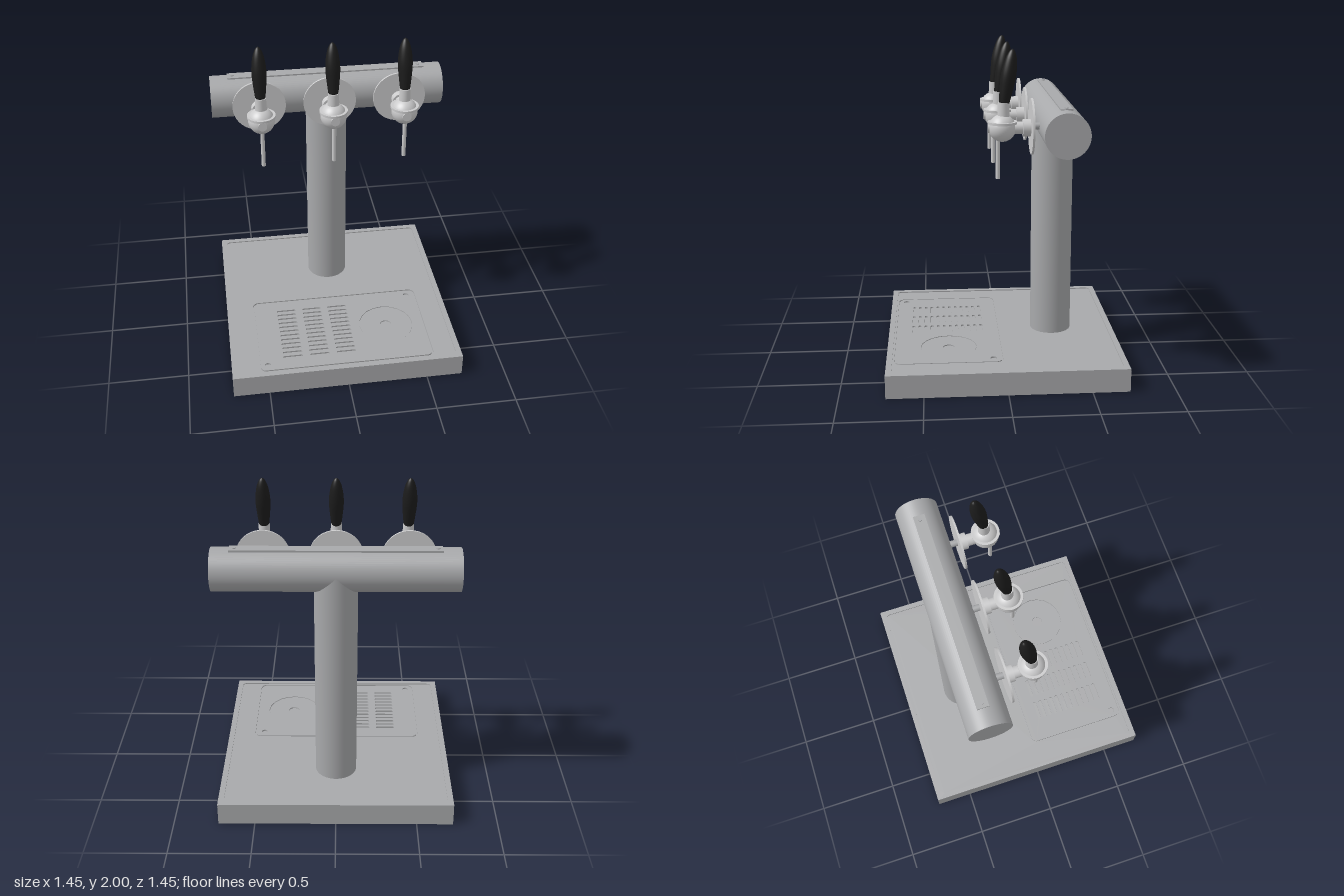
import * as THREE from 'three';

const material = (name, color) => {
  const m = new THREE.MeshStandardMaterial({ color });
  m.name = name;
  return m;
};

export function createModel() {
  const steel = material('brushed steel', 0xa8a9ab);
  const chrome = material('bright chrome', 0xcbcbcc);
  const black = material('black handle', 0x1c1c1c);
  const model = new THREE.Group();

  const add = (parent, name, geometry, mat, x = 0, y = 0, z = 0) => {
    const mesh = new THREE.Mesh(geometry, mat);
    mesh.name = name;
    mesh.position.set(x, y, z);
    parent.add(mesh);
    return mesh;
  };
  const rod = (r, h, axis = 'y', sides = 40) => {
    const g = new THREE.CylinderGeometry(r, r, h, sides);
    if (axis === 'x') g.rotateZ(Math.PI / 2);
    if (axis === 'z') g.rotateX(Math.PI / 2);
    return g;
  };
  // Rounded outline in plan, centred on (x, z)
  const outline = (x, z, w, d, r, T = THREE.Shape) => {
    const s = new T(), a = w / 2 - r, b = d / 2 - r, h = Math.PI / 2;
    s.absarc(x + a, -z + b, r, 0, h);
    s.absarc(x - a, -z + b, r, h, 2 * h);
    s.absarc(x - a, -z - b, r, 2 * h, 3 * h);
    s.absarc(x + a, -z - b, r, 3 * h, 4 * h);
    s.closePath();
    return s;
  };
  const hole = (...p) => outline(...p, THREE.Path);
  const disc = (x, z, r, T = THREE.Path) => new T().absarc(x, -z, r, 0, Math.PI * 2);
  // Horizontal plate extruded upward from y0 to y1
  const plate = (parent, name, shape, holes, y0, y1) => {
    shape.holes.push(...holes);
    const g = new THREE.ExtrudeGeometry(shape, { depth: y1 - y0, bevelEnabled: false, curveSegments: 10 });
    g.rotateX(-Math.PI / 2);
    return add(parent, name, g, steel, 0, y0);
  };

  // Base with raised rim and a recessed drip tray
  const base = new THREE.Group();
  base.name = 'base';
  model.add(base);
  add(base, 'baseBlock', new THREE.BoxGeometry(1.45, 0.128, 1.45), steel, 0, 0.064, 0);
  plate(base, 'baseRim', outline(0, 0, 1.45, 1.45, 0.004), [hole(0, 0, 1.38, 1.38, 0.025)], 0.128, 0.145);
  plate(base, 'baseTop', outline(0, 0, 1.38, 1.38, 0.025), [hole(0, 0.348, 1.104, 0.66, 0.04)], 0.128, 0.138);

  const openings = [
    disc(0.3, 0.345, 0.175), disc(-0.5, 0.625, 0.02), disc(0.49, 0.075, 0.02),
  ];
  for (const x of [-0.335, -0.165, 0.005])
    for (let i = 0; i < 12; i++) openings.push(hole(x, 0.128 + i * 0.04, 0.124, 0.02, 0.0095));
  plate(base, 'dripTray', outline(0, 0.348, 1.088, 0.644, 0.034), openings, 0.128, 0.138);
  plate(base, 'rinserPlate', disc(0.3, 0.345, 0.173, THREE.Shape), [disc(0.3, 0.345, 0.037)], 0.128, 0.135);

  // T-shaped tower of two equal tubes
  add(model, 'column', rod(0.13, 1.405, 'y', 64), steel, 0, 0.8425, -0.325);
  add(model, 'crossTube', rod(0.13, 1.45, 'x', 64), steel, 0, 1.545, -0.325);
  add(model, 'topStrip', new THREE.BoxGeometry(1.23, 0.02, 0.07), steel, 0, 1.67, -0.33);
  for (const x of [-0.585, 0.585]) add(model, 'stripScrew', rod(0.011, 0.006, 'y', 16), steel, x, 1.682, -0.33);

  // Grip profile: slim base, full middle, rounded tip
  const grip = new THREE.SplineCurve([
    [0.03, 0], [0.037, 0.06], [0.044, 0.14], [0.042, 0.2], [0.032, 0.26], [0.016, 0.3], [0.0001, 0.314],
  ].map(p => new THREE.Vector2(...p))).getPoints(28);
  grip.unshift(new THREE.Vector2(0.0001, 0));

  // Three identical taps
  for (const x of [-0.435, 0, 0.435]) {
    const tap = new THREE.Group();
    tap.name = 'tap';
    tap.position.x = x;
    model.add(tap);
    add(tap, 'mountStem', rod(0.02, 0.07, 'z'), steel, 0, 1.555, -0.18);
    add(tap, 'backDisc', rod(0.163, 0.012, 'z', 64), chrome, 0, 1.553, -0.15);
    add(tap, 'collar', rod(0.05, 0.046, 'z'), chrome, 0, 1.545, -0.121);
    add(tap, 'shank', rod(0.036, 0.06, 'z'), chrome, 0, 1.545, -0.075);
    add(tap, 'ballBody', new THREE.SphereGeometry(0.08, 40, 28), chrome, 0, 1.545, 0.02);
    add(tap, 'ballFlange', rod(0.086, 0.014), chrome, 0, 1.577, 0.02);
    add(tap, 'frontCap', rod(0.027, 0.04, 'z'), chrome, 0, 1.545, 0.084);
    add(tap, 'neck', new THREE.CylinderGeometry(0.033, 0.036, 0.09, 32), chrome, 0, 1.65, 0.013);
    add(tap, 'spout', rod(0.0125, 0.25, 'y', 24), chrome, 0, 1.37, 0.046);
    const handle = add(tap, 'handle', new THREE.LatheGeometry(grip, 28), black, 0, 1.69, 0.01);
    handle.rotation.x = -0.16;
  }
  return model;
}
